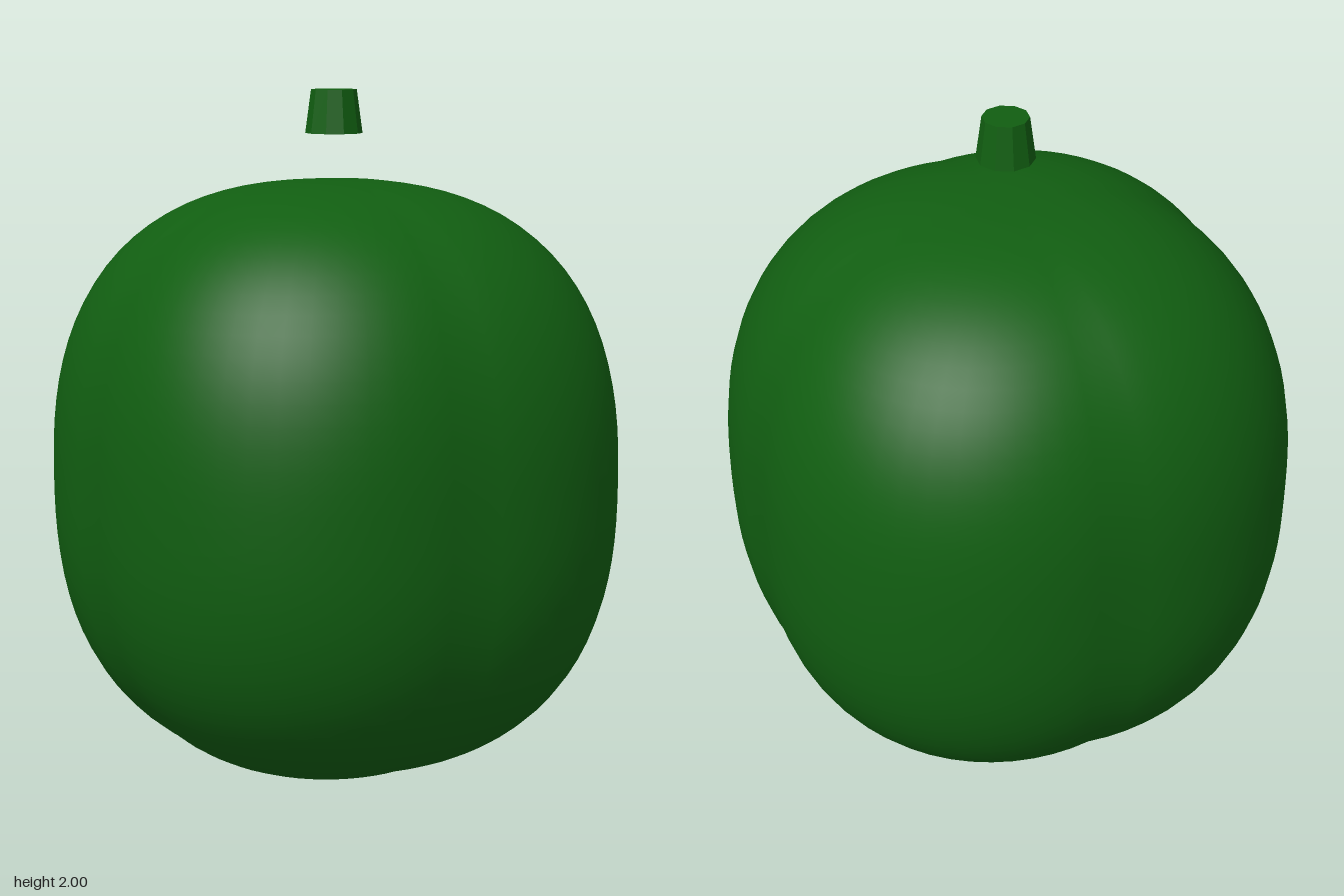
import * as THREE from 'three';
import { mergeVertices } from 'three/addons/utils/BufferGeometryUtils.js';

const RADIUS = 0.84, HALF_HEIGHT = 0.87, ROUNDNESS = 2.5, GROOVE = 0.07;

// Squarish round body with four lobes that meet in diagonal grooves
function lobedBody() {
  let geo = new THREE.SphereGeometry(1, 64, 48);
  geo.deleteAttribute('uv');
  geo.deleteAttribute('normal');
  geo = mergeVertices(geo, 1e-5);
  const pos = geo.attributes.position;
  for (let i = 0; i < pos.count; i++) {
    const x = pos.getX(i), y = pos.getY(i), z = pos.getZ(i);
    const flat = Math.hypot(x, z);
    const swell = 1 / Math.pow(flat ** ROUNDNESS + Math.abs(y) ** ROUNDNESS, 1 / ROUNDNESS);
    const lobe = 1 - GROOVE * (1 - Math.abs(Math.cos(2 * Math.atan2(z, x))));
    const side = RADIUS * swell * lobe;
    pos.setXYZ(i, x * side, HALF_HEIGHT * (1 + y * swell), z * side);
  }
  geo.computeVertexNormals();
  return geo;
}

export function createModel() {
  const model = new THREE.Group();
  const green = new THREE.MeshStandardMaterial({ color: 0x115e11 });
  green.name = 'deep green';

  const body = new THREE.Mesh(lobedBody(), green);
  body.name = 'body';
  model.add(body);

  // Ten-sided tapered stem, held just above the body, with faceted sides
  const stemGeo = new THREE.CylinderGeometry(0.066, 0.083, 0.125, 10).toNonIndexed();
  stemGeo.computeVertexNormals();
  const stem = new THREE.Mesh(stemGeo, green);
  stem.name = 'stem';
  stem.position.y = 1.9375;
  model.add(stem);

  return model;
}
